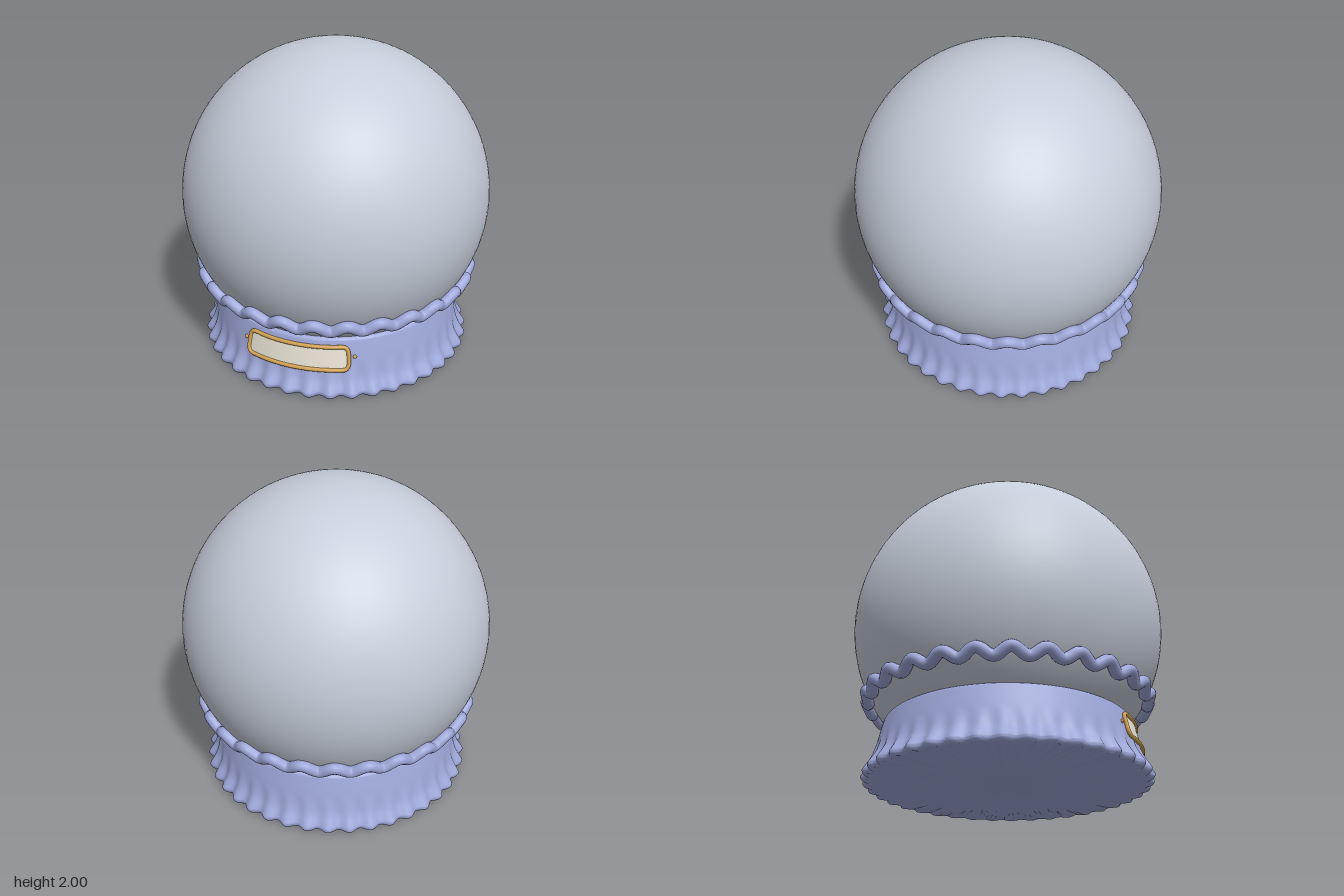
import * as THREE from 'three';
import { toCreasedNormals } from 'three/addons/utils/BufferGeometryUtils.js';

const mat = (name, color) => {
  const m = new THREE.MeshStandardMaterial({ color });
  m.name = name;
  return m;
};

// Point on the sloping base wall: angle from the front, height, distance off the wall
const onWall = (angle, y, lift) => {
  const r = 0.85 - 0.229 * y + lift;
  return new THREE.Vector3(Math.sin(angle) * r, y, Math.cos(angle) * r);
};

// Wavy ring that runs around the globe
class RuffleCurve extends THREE.Curve {
  getPoint(t, target = new THREE.Vector3()) {
    const a = t * Math.PI * 2;
    const wave = Math.sin(a * 28);
    const r = 0.876 + 0.012 * wave;
    return target.set(Math.cos(a) * r, 0.51 + 0.024 * wave, Math.sin(a) * r);
  }
}

// Turned base whose foot flares into fine pleats
function baseGeometry() {
  const wall = new THREE.SplineCurve([
    [0.852, 0], [0.862, 0.01], [0.87, 0.03], [0.855, 0.06], [0.833, 0.1], [0.819, 0.14],
    [0.805, 0.2], [0.79, 0.27], [0.773, 0.34], [0.767, 0.36], [0.755, 0.37],
  ].map(([r, y]) => new THREE.Vector2(r, y))).getPoints(30);
  const profile = [new THREE.Vector2(0, 0), ...wall, new THREE.Vector2(0.72, 0.37)];
  const geo = new THREE.LatheGeometry(profile, 320);
  const p = geo.attributes.position;
  for (let i = 0; i < p.count; i++) {
    const x = p.getX(i), y = p.getY(i), z = p.getZ(i);
    const r = Math.hypot(x, z);
    if (r < 0.5) continue;
    const depth = 0.018 * Math.max(0, 1 - y / 0.22);
    const k = 1 + depth * Math.sin(Math.atan2(z, x) * 40) / r;
    p.setXYZ(i, x * k, y, z * k);
  }
  return toCreasedNormals(geo, 0.8);
}

const HALF_ANGLE = 0.415, HALF_HEIGHT = 0.072, MID_Y = 0.25, CORNER = 0.042;

// Half width of the rounded plate at a height above its middle
const halfWidth = (v) => {
  const over = Math.max(0, Math.abs(v) - (HALF_HEIGHT - CORNER));
  return HALF_ANGLE - CORNER + Math.sqrt(Math.max(0, CORNER * CORNER - over * over));
};

// Plate bent around the wall
function plateGeometry() {
  const geo = new THREE.PlaneGeometry(2, HALF_HEIGHT * 2, 32, 16);
  const p = geo.attributes.position;
  for (let i = 0; i < p.count; i++) {
    const v = p.getY(i);
    const q = onWall(p.getX(i) * halfWidth(v), MID_Y + v, 0.008);
    p.setXYZ(i, q.x, q.y, q.z);
  }
  geo.computeVertexNormals();
  return geo;
}

// Rounded frame following the plate's edge
function frameGeometry() {
  const pts = [];
  const corners = [[1, 1, 0], [-1, 1, 1], [-1, -1, 2], [1, -1, 3]];
  const w = HALF_ANGLE - CORNER, h = HALF_HEIGHT - CORNER;
  for (const [sx, sy, quarter] of corners) {
    for (let i = 0; i <= 6; i++) {
      const a = (quarter + i / 6) * Math.PI / 2;
      pts.push(onWall(sx * w + CORNER * Math.cos(a), MID_Y + sy * h + CORNER * Math.sin(a), 0.01));
    }
    // Keep the long edges bent around the wall
    if (sx * sy > 0) {
      for (let i = 1; i < 8; i++) {
        pts.push(onWall(sx * w * (1 - i / 4), MID_Y + sy * HALF_HEIGHT, 0.01));
      }
    }
  }
  const curve = new THREE.CatmullRomCurve3(pts, true, 'centripetal');
  return new THREE.TubeGeometry(curve, 160, 0.013, 10, true);
}

export function createModel() {
  const model = new THREE.Group();
  model.name = 'snowGlobe';
  const glass = mat('pale grey glass', 0xc6cedb);
  const blue = mat('periwinkle blue', 0x9fa8da);
  const gold = mat('gold', 0xd2a152);
  const ivory = mat('ivory', 0xe4dfd0);

  const add = (name, geo, material, parent = model) => {
    const mesh = new THREE.Mesh(geo, material);
    mesh.name = name;
    parent.add(mesh);
    return mesh;
  };

  // Globe
  add('globe', new THREE.SphereGeometry(0.985, 96, 64), glass).position.y = 1.015;

  // Base and ruffle
  add('base', baseGeometry(), blue);
  const ruffle = new RuffleCurve();
  ruffle.arcLengthDivisions = 1400;
  add('ruffle', new THREE.TubeGeometry(ruffle, 336, 0.036, 14, true), blue);

  // Name plate with frame and rivets
  const plaque = new THREE.Group();
  plaque.name = 'plaque';
  model.add(plaque);
  add('plate', plateGeometry(), ivory, plaque);
  add('plateFrame', frameGeometry(), gold, plaque);
  for (const side of [1, -1]) {
    add(side > 0 ? 'leftRivet' : 'rightRivet', new THREE.SphereGeometry(0.012, 16, 12), gold, plaque)
      .position.copy(onWall(side * 0.463, 0.255, 0.003));
  }
  return model;
}
